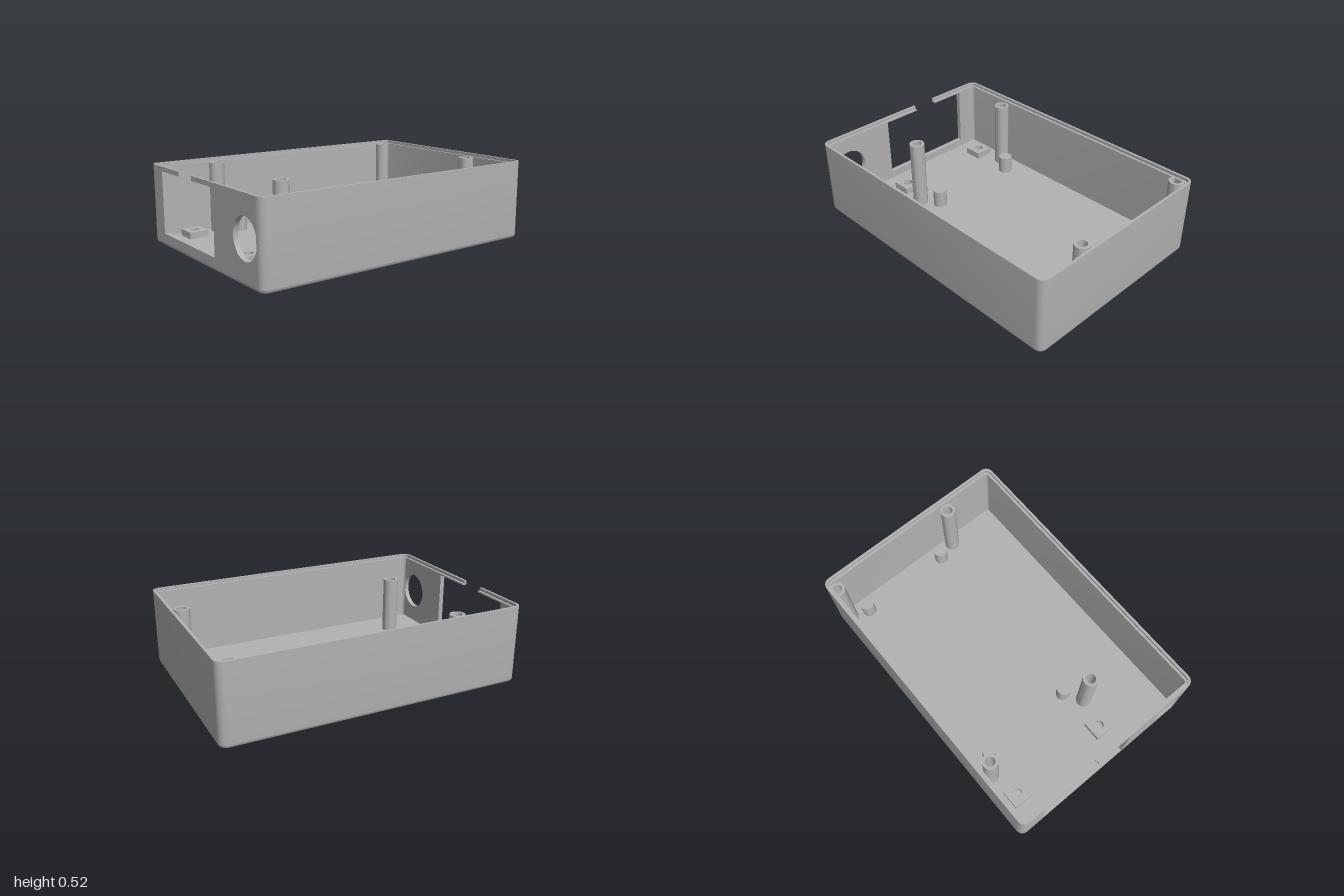
import * as THREE from 'three';
import { toCreasedNormals } from 'three/addons/utils/BufferGeometryUtils.js';

const HW = 1, HD = 0.685, R = 0.05;      // half width, half depth, corner radius
const WALL = 0.032, LIP = 0.016;         // wall and lip thickness
const FLOOR = 0.032, SHELF = 0.5, TOP = 0.52, FILLET = 0.025;
const STEPS = 8;                         // segments per rounded corner

// Rounded rectangle ring, inset from the outer wall
function ring(inset, y) {
  const pts = [];
  [[1, 1], [-1, 1], [-1, -1], [1, -1]].forEach(([sx, sz], c) => {
    for (let i = 0; i <= STEPS; i++) {
      const a = (c + i / STEPS) * Math.PI / 2;
      pts.push([sx * (HW - R) + (R - inset) * Math.cos(a), y, sz * (HD - R) + (R - inset) * Math.sin(a)]);
    }
  });
  return pts;
}

// Tray skin: outer fillet, wall, stepped rim, inner wall and floor; the -x wall is left open
function trayGeometry() {
  const profile = [];
  for (let i = 0; i <= 6; i++) {
    const a = i / 6 * Math.PI / 2;
    profile.push([FILLET * (1 - Math.sin(a)), FILLET * (1 - Math.cos(a))]);
  }
  profile.push([0, TOP], [LIP, TOP], [LIP, SHELF], [WALL, SHELF], [WALL, FLOOR]);
  const rings = profile.map(([inset, y]) => ring(inset, y));
  const n = rings[0].length, openSide = 2 * (STEPS + 1) - 1, pos = [];
  const tri = (...p) => p.forEach(v => pos.push(...v));
  for (let k = 0; k < rings.length - 1; k++) {
    for (let i = 0; i < n; i++) {
      if (i === openSide && k >= 6) continue;
      const j = (i + 1) % n, lo = rings[k], hi = rings[k + 1];
      tri(lo[i], hi[i], lo[j]);
      tri(lo[j], hi[i], hi[j]);
    }
  }
  const last = rings[rings.length - 1];
  for (let i = 0; i < n; i++) {
    const j = (i + 1) % n;
    tri([0, 0, 0], rings[0][i], rings[0][j]);
    tri([0, FLOOR, 0], last[j], last[i]);
  }
  const g = new THREE.BufferGeometry();
  g.setAttribute('position', new THREE.Float32BufferAttribute(pos, 3));
  return toCreasedNormals(g, 0.6);
}

function circlePath(x, y, r) {
  return new THREE.Path().absarc(x, y, r, 0, Math.PI * 2, true);
}

// Side wall with connector window, notch and round cable hole
function portWallGeometry() {
  const e = HD - R;
  const shape = new THREE.Shape([
    [-e, FILLET], [e, FILLET], [e, SHELF], [-0.1, SHELF], [-0.1, 0.49], [0.165, 0.49],
    [0.165, 0.085], [-0.515, 0.085], [-0.515, 0.49], [-0.27, 0.49], [-0.27, SHELF], [-e, SHELF],
  ].map(([z, y]) => new THREE.Vector2(z, y)));
  shape.holes.push(circlePath(0.515, 0.27, 0.125));
  const g = new THREE.ExtrudeGeometry(shape, { depth: WALL, bevelEnabled: false, curveSegments: 40 });
  g.rotateY(-Math.PI / 2);
  g.translate(-HW + WALL, 0, 0);
  return toCreasedNormals(g, 0.6);
}

// Hollow screw post
function screwPostGeometry() {
  const p = [[0.05, 0.02], [0.05, SHELF], [0.031, SHELF], [0.031, 0.1], [0, 0.1]];
  return toCreasedNormals(new THREE.LatheGeometry(p.map(([x, y]) => new THREE.Vector2(x, y)), 32), 0.6);
}

// Square pad with a screw hole
function padGeometry() {
  const s = 0.065;
  const shape = new THREE.Shape([[-s, -s], [s, -s], [s, s], [-s, s]].map(([x, y]) => new THREE.Vector2(x, y)));
  shape.holes.push(circlePath(0, 0, 0.031));
  const g = new THREE.ExtrudeGeometry(shape, { depth: 0.055, bevelEnabled: false, curveSegments: 24 });
  g.rotateX(-Math.PI / 2);
  return toCreasedNormals(g, 0.6);
}

export function createModel() {
  const model = new THREE.Group();
  model.name = 'enclosureBase';
  const grey = new THREE.MeshStandardMaterial({ color: 0xb2b2b2 });
  grey.name = 'grey plastic';

  const add = (name, geometry, x = 0, y = 0, z = 0) => {
    const mesh = new THREE.Mesh(geometry, grey);
    mesh.name = name;
    mesh.position.set(x, y, z);
    model.add(mesh);
  };

  add('tray', trayGeometry());
  add('portWall', portWallGeometry());

  // Rim lip above the port wall, broken by the notch
  for (const [z0, z1] of [[-(HD - R), -0.27], [-0.1, HD - R]]) {
    add('portWallLip', new THREE.BoxGeometry(LIP, TOP - SHELF, z1 - z0),
      -HW + LIP / 2, (TOP + SHELF) / 2, (z0 + z1) / 2);
  }

  // Tall screw posts
  const post = screwPostGeometry();
  for (const [x, z] of [[-0.58, -0.585], [-0.58, 0.217], [0.91, -0.634], [0.91, 0.27]]) {
    add('screwPost', post, x, 0, z);
  }

  // Short board support pegs
  const peg = new THREE.CylinderGeometry(0.046, 0.046, 0.13, 32);
  for (const x of [-0.46, 0.868]) {
    for (const z of [-0.505, 0.138]) add('supportPeg', peg, x, 0.085, z);
  }

  // Square mounting pads behind the window
  const pad = padGeometry();
  for (const z of [-0.535, 0.168]) add('mountingPad', pad, -0.782, 0.022, z);

  return model;
}
